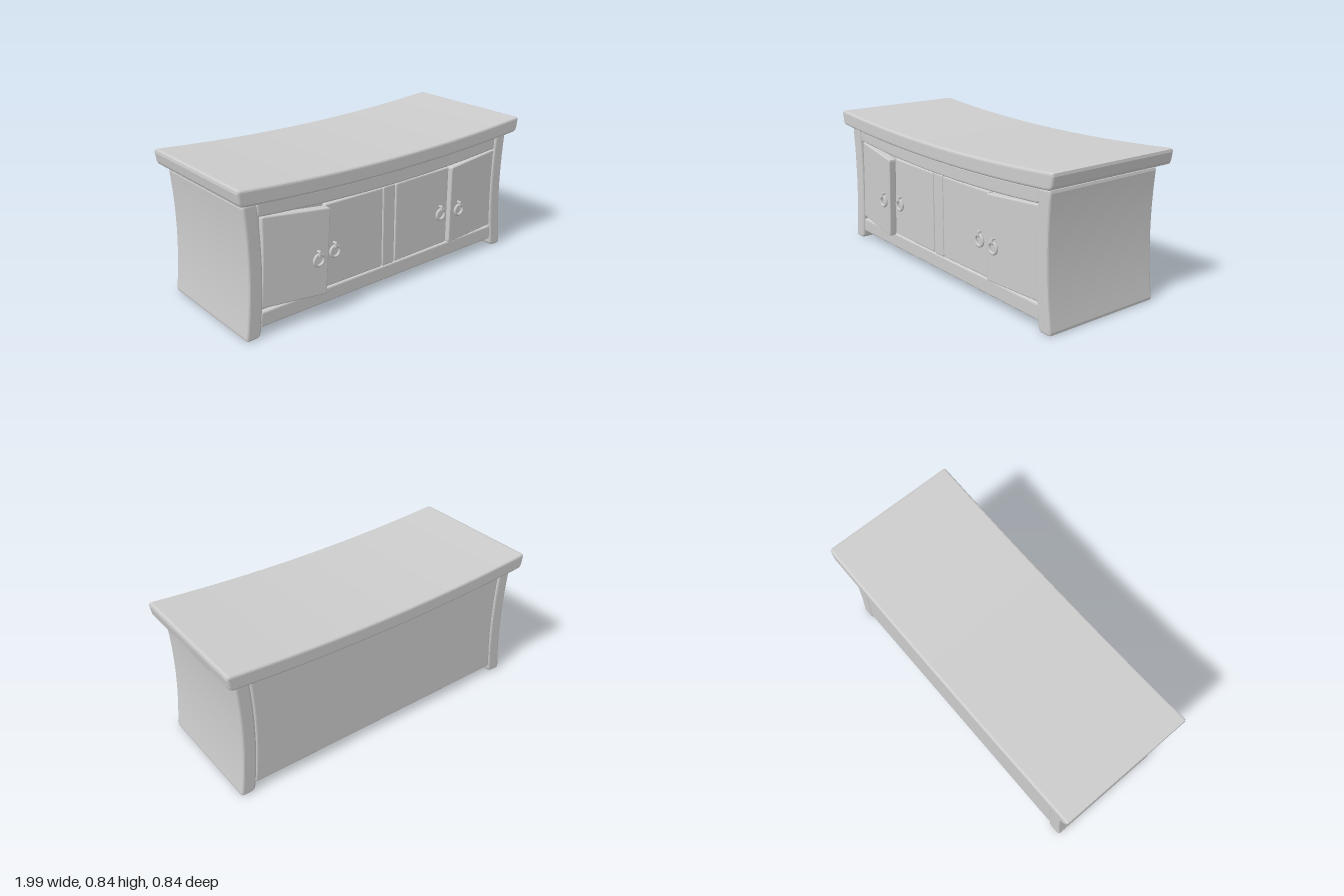
import * as THREE from 'three';
import { toCreasedNormals } from 'three/addons/utils/BufferGeometryUtils.js';

// Soft four-sided outline; each edge may bow by [dx, dy] at its middle.
// Corners and bows run: bottom left, bottom right, top right, top left.
function outline(corners, bows, r) {
  const pts = [];
  const P = corners.map(([x, y]) => new THREE.Vector2(x, y));
  for (let i = 0; i < 4; i++) {
    const a = P[i], b = P[(i + 1) % 4];
    const bow = bows[i] || [0, 0];
    const steps = bows[i] ? 20 : 1;
    const trim = r / a.distanceTo(b);
    const edge = (t) => {
      const k = 4 * t * (1 - t);
      return a.clone().lerp(b, t).add(new THREE.Vector2(bow[0] * k, bow[1] * k));
    };
    for (let s = 0; s <= steps; s++) pts.push(edge(trim + (1 - 2 * trim) * (s / steps)));
    // rounded corner: middle of a quadratic curve around b
    const next = P[(i + 2) % 4];
    const before = b.clone().lerp(a, trim);
    const after = b.clone().lerp(next, r / b.distanceTo(next));
    pts.push(before.add(after).multiplyScalar(0.25).addScaledVector(b, 0.5));
  }
  return new THREE.Shape(pts);
}

export function createModel() {
  const model = new THREE.Group();
  model.name = 'sideboard';
  const grey = new THREE.MeshStandardMaterial({ color: 0xcccccc });
  grey.name = 'plain grey';

  // Bevelled board between zBack and zFront; swing pushes z out per unit of x from hingeX
  function board(name, corners, bows, zBack, zFront, r = 0.01, hingeX = 0, swing = 0) {
    let geo = new THREE.ExtrudeGeometry(outline(corners, bows, r * 1.5), {
      depth: zFront - zBack - 2 * r, bevelEnabled: true,
      bevelSize: r, bevelThickness: r, bevelOffset: -r, bevelSegments: 3,
    });
    geo.translate(0, 0, zBack + r);
    const p = geo.attributes.position;
    for (let i = 0; i < p.count; i++) p.setZ(i, p.getZ(i) + swing * (p.getX(i) - hingeX));
    geo = toCreasedNormals(geo, 0.2);
    const mesh = new THREE.Mesh(geo, grey);
    mesh.name = name;
    model.add(mesh);
  }

  // Sagging top
  board('top', [[-0.985, 0.75], [0.985, 0.75], [1, 0.84], [-1, 0.84]],
    [[0, -0.04], null, [0, -0.043], null], -0.42, 0.41, 0.014);

  // Waisted side panels
  board('rightSide', [[-0.962, 0], [-0.875, 0.003], [-0.864, 0.735], [-0.948, 0.738]],
    [null, [0.022, 0], null, [0.024, 0]], -0.37, 0.367, 0.013);
  board('leftSide', [[0.87, 0.003], [0.957, 0], [0.937, 0.738], [0.853, 0.735]],
    [null, [-0.024, 0], null, [-0.022, 0]], -0.37, 0.367, 0.013);

  // Inner carcass and back panel
  board('carcass', [[-0.9, 0.058], [0.9, 0.058], [0.88, 0.745], [-0.88, 0.745]],
    [null, [-0.025, 0], [0, -0.032], [0.025, 0]], -0.34, 0.335, 0.005);
  board('backPanel', [[-0.873, 0.05], [0.868, 0.05], [0.852, 0.735], [-0.862, 0.735]],
    [null, [-0.02, 0], [0, -0.035], [0.02, 0]], -0.367, -0.32, 0.012);

  // Front frame
  board('upperRail', [[-0.86, 0.657], [0.85, 0.652], [0.853, 0.733], [-0.862, 0.733]],
    [[0, -0.037], null, [0, -0.033], null], 0.3, 0.36);
  board('lowerRail', [[-0.87, 0.053], [0.866, 0.053], [0.86, 0.143], [-0.865, 0.139]],
    [null, null, null, null], 0.3, 0.36);
  board('centreStile', [[-0.046, 0.14], [0.042, 0.14], [0.042, 0.618], [-0.046, 0.618]],
    [null, null, null, null], 0.3, 0.357, 0.007);

  // Doors; the outer ones stand slightly ajar
  board('outerRightDoor', [[-0.863, 0.157], [-0.472, 0.13], [-0.446, 0.617], [-0.838, 0.653]],
    [null, null, null, [0.008, 0]], 0.31, 0.358, 0.008, -0.85, 0.11);
  board('innerRightDoor', [[-0.465, 0.145], [-0.05, 0.143], [-0.05, 0.617], [-0.452, 0.62]],
    [null, null, null, null], 0.3, 0.358, 0.008);
  board('innerLeftDoor', [[0.046, 0.143], [0.461, 0.148], [0.461, 0.622], [0.046, 0.617]],
    [null, null, null, null], 0.3, 0.358, 0.008);
  board('outerLeftDoor', [[0.467, 0.143], [0.854, 0.152], [0.85, 0.647], [0.467, 0.62]],
    [null, [-0.008, 0], null, null], 0.3, 0.358, 0.008, 0.85, -0.05);

  // Ring pulls with their pegs
  const ringGeo = new THREE.TorusGeometry(0.031, 0.0085, 10, 28);
  const pegGeo = new THREE.CapsuleGeometry(0.008, 0.022, 4, 10);
  const pulls = [[-0.527, 0.392], [-0.395, 0.358], [0.396, 0.358], [0.532, 0.374]];
  for (const [x, z] of pulls) {
    const pull = new THREE.Group();
    pull.name = 'ringPull';
    const ring = new THREE.Mesh(ringGeo, grey);
    ring.name = 'ring';
    ring.position.z = 0.012;
    const peg = new THREE.Mesh(pegGeo, grey);
    peg.name = 'peg';
    peg.position.set(0, 0.037, 0.018);
    const stem = new THREE.Mesh(new THREE.CylinderGeometry(0.007, 0.007, 0.03, 10), grey);
    stem.name = 'stem';
    stem.rotation.x = Math.PI / 2;
    stem.position.set(0, 0.048, 0.006);
    pull.add(ring, peg, stem);
    pull.position.set(x, 0.345, z);
    model.add(pull);
  }
  return model;
}
